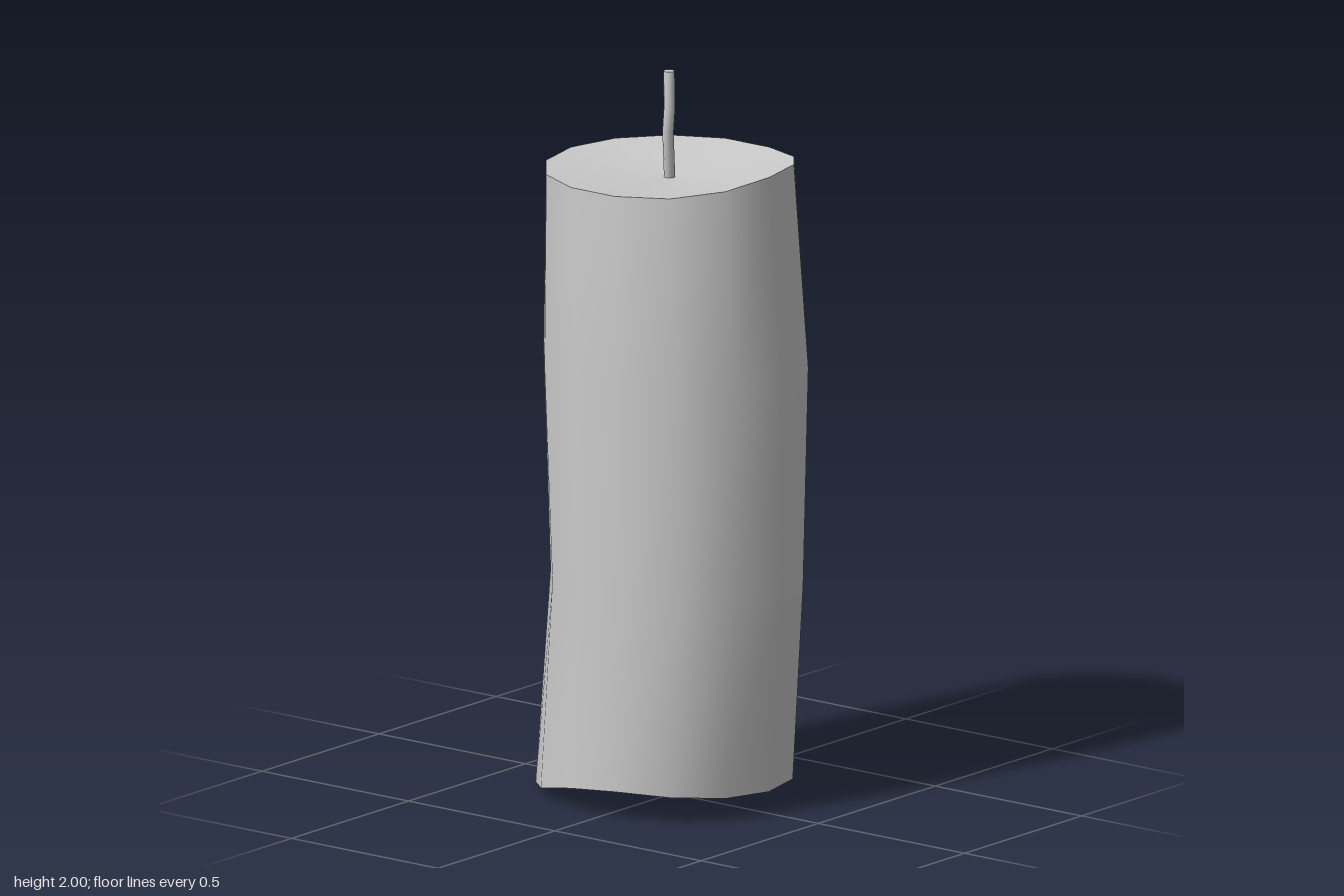
import * as THREE from 'three';

const SIDES = 14;
const material = new THREE.MeshStandardMaterial({ color: 0xcccccc });

// Skin a stack of closed rings (each an array of Vector3), smooth within the skin
function loft(rings) {
  const n = rings[0].length;
  const index = [];
  for (let i = 0; i < rings.length - 1; i++) {
    for (let j = 0; j < n; j++) {
      const k = (j + 1) % n;
      const a = i * n + j, b = i * n + k, c = b + n, d = a + n;
      index.push(a, b, c, a, c, d);
    }
  }
  const geometry = new THREE.BufferGeometry().setFromPoints(rings.flat());
  geometry.setIndex(index);
  geometry.computeVertexNormals();
  return geometry;
}

// Ring starting at the front (+z) and turning toward +x; heights may vary per corner
function ring(n, cx, cz, rx, rz, y) {
  return Array.from({ length: n }, (_, i) => {
    const a = (i / n) * Math.PI * 2;
    return new THREE.Vector3(cx + rx * Math.sin(a), Array.isArray(y) ? y[i] : y, cz + rz * Math.cos(a));
  });
}

// Ring shrunk toward a centre point
const shrink = (points, centre, t) => points.map((p) => p.clone().lerp(centre, t));

function addMesh(group, name, geometry) {
  const mesh = new THREE.Mesh(geometry, material);
  mesh.name = name;
  group.add(mesh);
}

export function createModel() {
  const group = new THREE.Group();
  group.name = 'candle';

  // Uneven rim heights, in order from the front corner
  const bottomY = [0.06, 0.06, 0.06, 0.06, 0.06, 0.055, 0.027, 0, 0.005, 0.03, 0.067, 0.082, 0.075, 0.065];
  const topY = [1.755, 1.755, 1.737, 1.727, 1.727, 1.727, 1.727, 1.727, 1.727, 1.727, 1.727, 1.727, 1.729, 1.74];

  const bottom = ring(SIDES, 0, -0.01, 0.332, 0.342, bottomY);
  // The low back edge bulges outward
  bottom[7].z = -0.382;
  bottom[8].z = -0.35;
  bottom[9].z = -0.24;
  const top = ring(SIDES, 0, -0.006, 0.339, 0.339, topY);

  // Wax body
  addMesh(group, 'waxBody', loft([
    bottom,
    ring(SIDES, 0, 0.017, 0.327, 0.353, 0.6),
    ring(SIDES, 0, 0.014, 0.353, 0.366, 1.2),
    top,
  ]));

  // Base
  const baseCentre = new THREE.Vector3(0, 0.045, -0.02);
  addMesh(group, 'base', loft([shrink(bottom, baseCentre, 1), bottom]));

  // Shallow melted hollow on top
  const pool = new THREE.Vector3(0, 1.7, -0.006);
  const hollow = shrink(top, pool, 0.45);
  hollow.forEach((p) => { p.y = 1.708 + (p.y - 1.708) * 0.3; });
  addMesh(group, 'meltedTop', loft([top, hollow, shrink(top, pool, 1)]));

  // Bent wick
  const wickPath = [
    [0.001, 1.69, -0.008], [-0.009, 1.76, -0.003], [-0.024, 1.83, 0.006],
    [-0.025, 1.9, 0.012], [-0.022, 2, 0.008],
  ];
  const wickRings = wickPath.map(([x, y, z]) => ring(10, x, z, 0.015, 0.015, y));
  addMesh(group, 'wick', loft(wickRings));

  // Flat wick tip
  const tip = wickRings[wickRings.length - 1];
  addMesh(group, 'wickTip', loft([tip, shrink(tip, new THREE.Vector3(...wickPath[4]), 1)]));

  return group;
}
